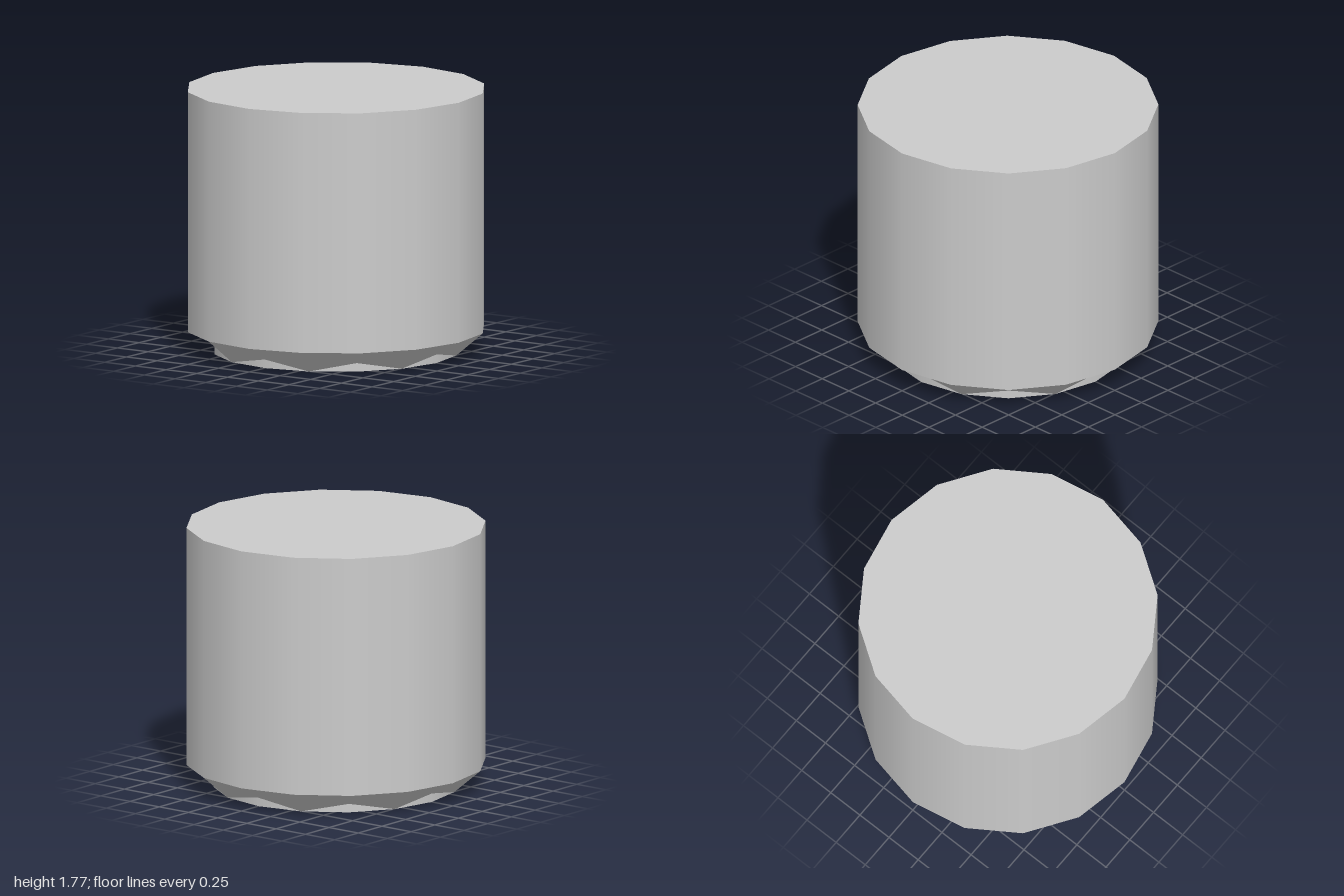
import * as THREE from 'three';

export function createModel() {
  const group = new THREE.Group();
  const material = new THREE.MeshStandardMaterial({ color: 0xcccccc });

  // Upright frustum between two heights
  function drum(name, topRadius, bottomRadius, y0, y1, sides, open = false, turn = 0) {
    const geometry = new THREE.CylinderGeometry(
      topRadius, bottomRadius, y1 - y0, sides, 1, open, turn, Math.PI * 2);
    const mesh = new THREE.Mesh(geometry, material);
    mesh.name = name;
    mesh.position.y = (y0 + y1) / 2;
    group.add(mesh);
  }

  // Main sixteen-sided drum
  drum('body', 1, 1, 0.155, 1.775, 16);
  // Eight-sided taper, its flats facing the axes
  drum('taper', 1, 0.82, 0, 0.155, 8, true, Math.PI / 8);
  // Foot disc that pokes through the flats of the taper
  drum('foot', 0.82, 0.82, 0, 0.06, 16);

  return group;
}
